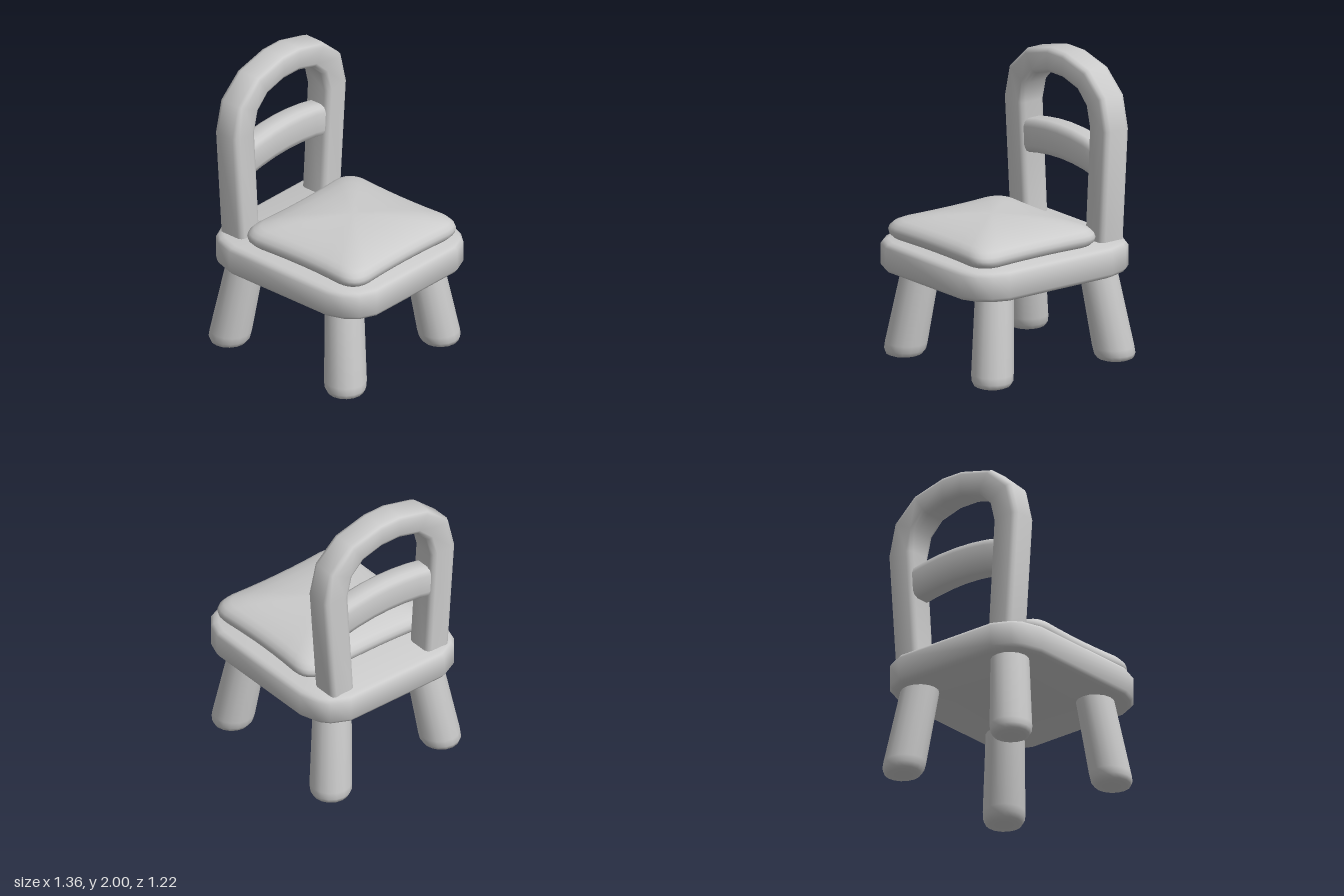
import * as THREE from 'three';
import { toCreasedNormals } from 'three/addons/utils/BufferGeometryUtils.js';

const material = new THREE.MeshStandardMaterial({ color: 0xcccccc });

// Skins a list of closed rings ([x, y, z] points) and caps both ends.
function loft(rings, crease = 0.9) {
  const n = rings[0].length;
  const points = rings.flat();
  const faces = [];
  for (let i = 0; i < rings.length - 1; i++) {
    for (let j = 0; j < n; j++) {
      const a = i * n + j, b = i * n + (j + 1) % n;
      faces.push([a, b, b + n], [a, b + n, a + n]);
    }
  }
  [0, rings.length - 1].forEach((r, end) => {
    const centre = [0, 1, 2].map(k => rings[r].reduce((s, p) => s + p[k], 0) / n);
    const c = points.push(centre) - 1;
    for (let j = 0; j < n; j++) {
      const a = r * n + j, b = r * n + (j + 1) % n;
      faces.push(end ? [a, b, c] : [b, a, c]);
    }
  });
  // Turn the faces outwards if the rings ran the other way round.
  const v = points.map(p => new THREE.Vector3(...p));
  const cross = new THREE.Vector3();
  const volume = faces.reduce((s, [a, b, c]) => s + v[a].dot(cross.crossVectors(v[b], v[c])), 0);
  if (volume < 0) faces.forEach(f => f.reverse());

  const geometry = new THREE.BufferGeometry();
  geometry.setAttribute('position', new THREE.Float32BufferAttribute(points.flat(), 3));
  geometry.setIndex(faces.flat());
  return toCreasedNormals(geometry, crease);
}

function add(group, name, geometry) {
  const mesh = new THREE.Mesh(geometry, material);
  mesh.name = name;
  group.add(mesh);
}

// Chamfered rectangle as [u, v] pairs in -1..1.
function softSquare(c) {
  const m = c * 0.3;
  const corner = [[1, 1 - c], [1 - m, 1 - m], [1 - c, 1]];
  const flipped = corner.slice().reverse();
  return [
    ...corner,
    ...flipped.map(([u, v]) => [-u, v]),
    ...corner.map(([u, v]) => [-u, -v]),
    ...flipped.map(([u, v]) => [u, -v]),
  ];
}

// Sweeps a soft rectangular section between paired inner and outer [z, y] points.
function band(pairs, x, halfDepth, chamfer) {
  const section = softSquare(chamfer);
  return loft(pairs.map(([[z0, y0], [z1, y1]]) => section.map(([u, v]) => {
    const t = (v + 1) / 2;
    return [x + u * halfDepth, y0 + (y1 - y0) * t, z0 + (z1 - z0) * t];
  })));
}

function seatGeometry() {
  const side = [[0.68, 0.39], [0.63, 0.505], [0.55, 0.57], [0.44, 0.61],
    [-0.41, 0.61], [-0.55, 0.565], [-0.61, 0.515], [-0.67, 0.39]];
  const outline = [...side, ...side.slice().reverse().map(([x, z]) => [x, -z])];
  const levels = [[0.60, 0.04], [0.612, 0.015], [0.635, 0], [0.775, 0], [0.798, 0.015], [0.81, 0.04]];
  return loft(levels.map(([y, inset]) => outline.map(([x, z]) =>
    [x * (1 - inset / 0.675), y, z * (1 - inset / 0.61)])));
}

function cushionGeometry() {
  const hx = 0.5, hz = 0.53, r = 0.14;
  // Rounded rectangle with gently pinched sides
  const shape = new THREE.Shape();
  shape.moveTo(hx, -hz + r);
  shape.quadraticCurveTo(hx - 0.03, 0, hx, hz - r);
  shape.quadraticCurveTo(hx, hz, hx - r, hz);
  shape.quadraticCurveTo(0, hz - 0.03, -hx + r, hz);
  shape.quadraticCurveTo(-hx, hz, -hx, hz - r);
  shape.quadraticCurveTo(-hx + 0.03, 0, -hx, -hz + r);
  shape.quadraticCurveTo(-hx, -hz, -hx + r, -hz);
  shape.quadraticCurveTo(0, -hz + 0.03, hx - r, -hz);
  shape.quadraticCurveTo(hx, -hz, hx, -hz + r);
  const outline = shape.getPoints(6).slice(0, -1);
  const levels = [[0.88, 0.805], [0.95, 0.818], [0.99, 0.842], [1, 0.868], [0.985, 0.893],
    [0.94, 0.92], [0.87, 0.938], [0.7, 0.963], [0.5, 0.982], [0.25, 0.995], [0.08, 1.0]];
  return loft(levels.map(([s, y]) => outline.map(p => [0.11 + p.x * s, y, p.y * s])));
}

// Splayed round leg, rounded at the foot
function legGeometry(footX, topX, sz) {
  const levels = [[0.005, 0.095], [0.015, 0.12], [0.045, 0.137], [0.09, 0.139], [0.64, 0.126]];
  const sides = 16;
  return loft(levels.map(([y, r]) => {
    const t = y / 0.6;
    const cx = footX + (topX - footX) * t;
    const cz = sz * (0.463 - 0.08 * t);
    return Array.from({ length: sides }, (_, i) => {
      const a = (i / sides) * Math.PI * 2;
      return [cx + r * Math.cos(a), Math.max(0, y), cz + r * Math.sin(a)];
    });
  }));
}

export function createModel() {
  const group = new THREE.Group();
  group.name = 'chair';

  add(group, 'seat', seatGeometry());
  add(group, 'cushion', cushionGeometry());

  // Four legs; the chair faces +x
  for (const sz of [1, -1]) {
    const label = sz > 0 ? 'Near' : 'Far';
    add(group, 'backLeg' + label, legGeometry(-0.548, -0.465, sz));
    add(group, 'frontLeg' + label, legGeometry(0.472, 0.39, sz));
  }

  // Arched back frame: one half as inner/outer pairs, then mirrored
  const half = [
    [[0.30, 0.76], [0.485, 0.76]],
    [[0.35, 1.56], [0.543, 1.57]],
    [[0.315, 1.70], [0.49, 1.79]],
    [[0.225, 1.79], [0.32, 1.94]],
    [[0.075, 1.832], [0.08, 2.0]],
  ];
  const mirrored = half.slice().reverse().map(pair => pair.map(([z, y]) => [-z, y]));
  add(group, 'backFrame', band([...half, ...mirrored], -0.505, 0.098, 0.36));

  // Gently bowed slat between the posts
  const slat = [];
  for (let i = 0; i <= 6; i++) {
    const z = -0.39 + 0.13 * i;
    const bow = 0.04 * (1 - (z / 0.36) ** 2);
    slat.push([[z, 1.22 + bow], [z, 1.45 + bow]]);
  }
  add(group, 'backSlat', band(slat, -0.505, 0.08, 0.45));

  return group;
}
